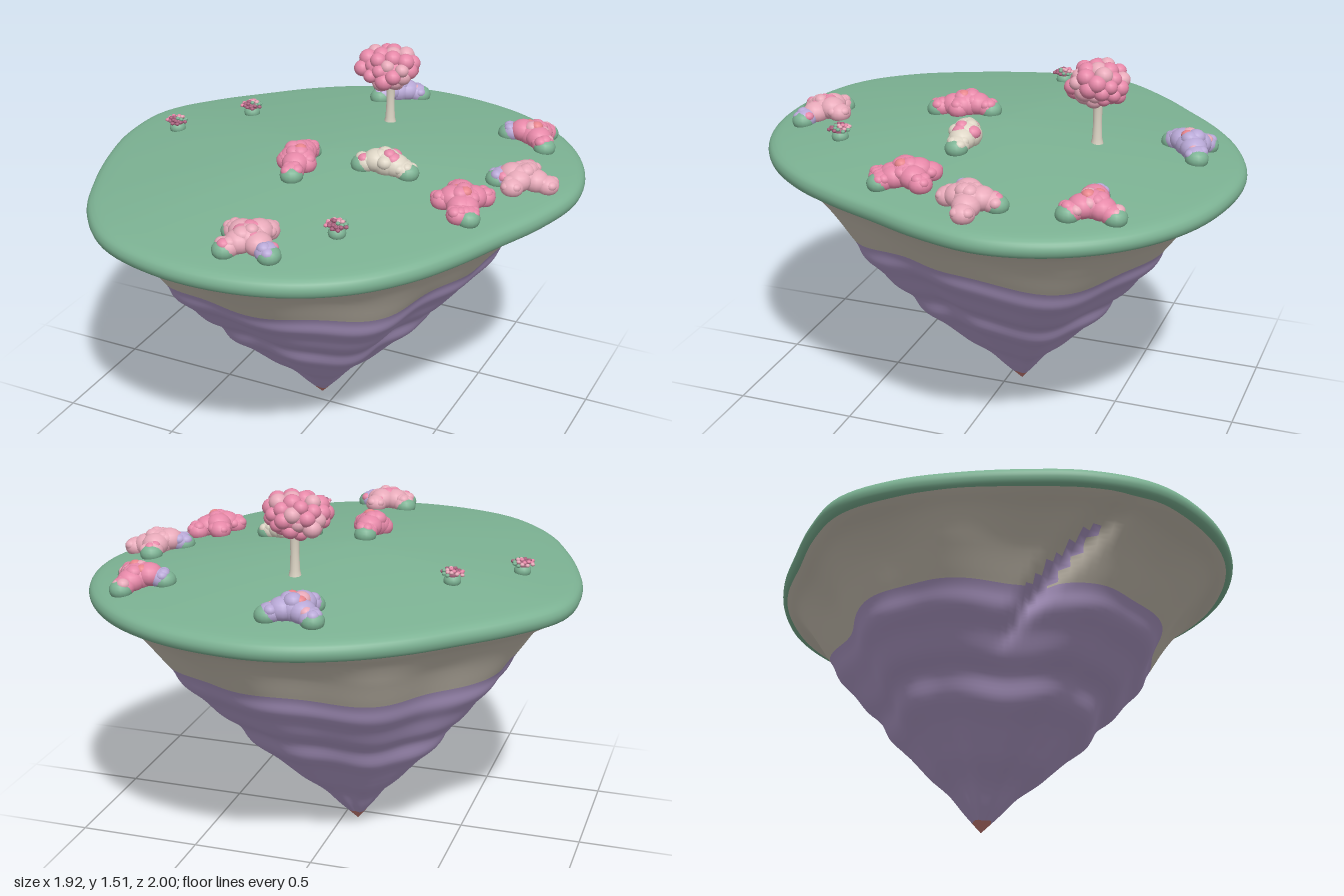
import * as THREE from 'three';
import { mergeGeometries } from 'three/addons/utils/BufferGeometryUtils.js';

const paint = (name, color) => {
  const m = new THREE.MeshStandardMaterial({ color });
  m.name = name;
  return m;
};
const M = {
  grass: paint('grass green', 0x7cb293),
  stone: paint('warm grey stone', 0xc6beb0),
  rock: paint('purple rock', 0xae99c6),
  tip: paint('red tip', 0xc47a74),
  pink: paint('pink', 0xe688a8),
  blush: paint('light pink', 0xe8aaba),
  lilac: paint('lilac', 0xb8a8d6),
  cream: paint('cream', 0xddd5c5),
  coral: paint('coral', 0xee8890),
  berry: paint('dark berry', 0xa8607c),
};

let seed = 7;
const rand = () => (seed = (seed * 16807) % 2147483647) / 2147483647;

// Island outline: radius every 15 degrees, from +x towards +z
const RADII = [0.91, 0.85, 0.85, 0.885, 0.93, 0.965, 0.99, 1.012, 1.025, 0.99, 0.945, 0.935,
  0.955, 0.97, 0.92, 0.89, 0.91, 0.95, 0.995, 1.02, 1.045, 1.055, 1.04, 0.995];
function outline(a) {
  const n = RADII.length, u = ((a / (2 * Math.PI)) * n + n) % n, i = Math.floor(u), f = u - i;
  const [p, q, r, s] = [-1, 0, 1, 2].map((k) => RADII[(i + k + n) % n]);
  return q + 0.5 * f * (r - p + f * (2 * p - 5 * q + 4 * r - s + f * (3 * (q - r) + s - p)));
}
const domeY = (t) => 1.115 + 0.09 * (1 - Math.pow(Math.min(t, 1), 1.6));
const groundY = (x, z) => domeY(Math.hypot(x, z) / outline(Math.atan2(z, x)));

// Skin of closed rings running from the top outwards and down
const SEG = 144;
function skin(name, rows, place, materials, pick) {
  const pos = [], faces = materials.map(() => []);
  rows.forEach((row, i) => {
    for (let j = 0; j < SEG; j++) {
      const a = (j / SEG) * 2 * Math.PI;
      pos.push(...place(row, a));
      if (i === rows.length - 1) continue;
      const k = (j + 1) % SEG, p = i * SEG + j, q = i * SEG + k;
      faces[pick(row, a)].push(p, q, p + SEG, q, q + SEG, p + SEG);
    }
  });
  const g = new THREE.BufferGeometry();
  g.setAttribute('position', new THREE.Float32BufferAttribute(pos, 3));
  g.setIndex(faces.flat());
  let start = 0;
  faces.forEach((f, m) => { g.addGroup(start, f.length, m); start += f.length; });
  g.computeVertexNormals();
  const mesh = new THREE.Mesh(g, materials);
  mesh.name = name;
  return mesh;
}
const smoothRows = (pts, n) => new THREE.SplineCurve(pts.map(([f, y]) => new THREE.Vector2(f, y))).getPoints(n);

function grassCap() {
  const rows = [];
  for (let i = 0; i <= 16; i++) rows.push(new THREE.Vector2(i / 17, domeY(i / 17)));
  rows.push(...smoothRows([[0.965, 1.117], [0.99, 1.103], [1, 1.078], [0.992, 1.053], [0.975, 1.043], [0.95, 1.045]], 15));
  const place = (r, a) => {
    const d = r.x * outline(a);
    return [d * Math.cos(a), r.y, d * Math.sin(a)];
  };
  return skin('grassCap', rows, place, [M.grass], () => 0);
}

// Terraced rock underneath, with a cleft at the front, drifting towards an off-centre point
const cleftAngle = (y) => 2.44 - (y - 0.78) * 1.05;
function rockBody() {
  const rows = smoothRows([[0.985, 1.055], [0.95, 1.03], [0.885, 0.99], [0.805, 0.91], [0.73, 0.81], [0.695, 0.76],
    [0.665, 0.7], [0.6, 0.635], [0.54, 0.56], [0.47, 0.5], [0.425, 0.42], [0.345, 0.35], [0.285, 0.29],
    [0.23, 0.235], [0.145, 0.165], [0.08, 0.09], [0.03, 0.035], [0.0005, 0.003]], 84);
  const place = ({ x: f, y }, a) => {
    const fade = Math.min(1, (1 - f) * 5);
    const lobes = 0.026 * Math.sin(9 * a + 0.6) + 0.016 * Math.sin(5 * a + 6 * y);
    const depth = THREE.MathUtils.smoothstep(y, 0.55, 0.75);
    const cleft = 0.08 * depth * Math.exp(-(((a - cleftAngle(y)) / 0.06) ** 2));
    const base = THREE.MathUtils.lerp(0.955, outline(a), 0.4 + 0.6 * f);
    const d = f * base * (1 + (lobes - cleft) * fade);
    const wave = 0.02 * Math.sin(4 * a + 1) * Math.sin(Math.PI * Math.min(1, y / 1.055));
    return [d * Math.cos(a) - 0.065 * (1 - f), y + wave, d * Math.sin(a) - 0.06 * (1 - f)];
  };
  const pick = ({ y }, a) => {
    if (y < 0.05) return 2;
    return y < 0.785 || (y < 0.98 && Math.abs(a - cleftAngle(y)) < 0.065 - (y - 0.785) * 0.2) ? 1 : 0;
  };
  return skin('rockBody', rows, place, [M.stone, M.rock, M.tip], pick);
}

// Round blobs [x, y, z, radius, colour, flatness] merged by colour into one named group
function clump(name, blobs) {
  const group = new THREE.Group(), byColour = new Map();
  group.name = name;
  for (const [x, y, z, r, mat, flat = 0.85] of blobs) {
    const detail = r > 0.015 ? [16, 10] : [8, 6];
    const g = new THREE.SphereGeometry(r, ...detail).scale(1, flat, 1).translate(x, y, z);
    if (!byColour.has(mat)) byColour.set(mat, []);
    byColour.get(mat).push(g);
  }
  byColour.forEach((list, mat) => {
    const mesh = new THREE.Mesh(mergeGeometries(list), mat);
    mesh.name = name + 'Blobs';
    group.add(mesh);
  });
  return group;
}

// Bush: a centre and low arms [x, z, colour, leafy tip]
function bush(cx, cz, heart, main, accent, arms) {
  const y = groundY(cx, cz), blobs = [[cx, y + 0.032, cz, 0.064, main]];
  const bumps = (x, by, z, r, mat, n) => {
    for (let i = 0; i < n; i++) {
      const a = (i / n) * 2 * Math.PI + rand(), e = 0.3 + rand() * 0.9;
      blobs.push([x + r * Math.cos(a) * Math.cos(e) * 0.62, by + r * Math.sin(e) * 0.5,
        z + r * Math.sin(a) * Math.cos(e) * 0.62, r * (0.46 + rand() * 0.12), rand() < 0.22 ? accent : mat]);
    }
  };
  bumps(cx, y + 0.035, cz, 0.064, main, 5);
  blobs.push([cx + 0.014, y + 0.071, cz + 0.012, 0.026, heart], [cx - 0.025, y + 0.063, cz - 0.015, 0.026, heart]);
  for (const [x, z, mat, leafy] of arms) {
    const ay = groundY(x, z) + 0.022, dx = x - cx, dz = z - cz, len = Math.hypot(dx, dz);
    blobs.push([x, ay, z, 0.046, mat], [cx + dx * 0.5, ay + 0.012, cz + dz * 0.5, 0.054, main]);
    bumps(x, ay, z, 0.046, mat, 5);
    if (leafy) blobs.push([x + (dx / len) * 0.014, ay - 0.008, z + (dz / len) * 0.014, 0.046, M.grass]);
  }
  return clump('bush', blobs);
}

function tree() {
  const group = new THREE.Group(), x = 0.08, z = -0.415, y = groundY(x, z) - 0.01;
  group.name = 'blossomTree';
  const profile = [[0.027, 0], [0.02, 0.03], [0.017, 0.1], [0.019, 0.16], [0.028, 0.22]];
  const trunk = new THREE.Mesh(new THREE.LatheGeometry(profile.map(([r, h]) => new THREE.Vector2(r, h)), 14), M.cream);
  trunk.position.set(x, y, z);
  trunk.name = 'trunk';
  const blobs = [[0.07, 1.42, z, 0.108, M.pink, 0.65]];
  for (let i = 0; i < 44; i++) {
    const h = 1 - (2 * (i + 0.5)) / 44, s = Math.sqrt(1 - h * h), a = i * 2.4, k = 0.8 + rand() * 0.3;
    blobs.push([0.07 + 0.107 * k * s * Math.cos(a), 1.423 + 0.064 * k * h, z + 0.096 * k * s * Math.sin(a),
      0.028 + rand() * 0.012, rand() < 0.4 ? M.blush : M.pink, 0.95]);
  }
  group.add(trunk, clump('crown', blobs));
  return group;
}

// Small flowering tuft over a leafy base
function tuft(x, z) {
  const y = groundY(x, z), blobs = [[x, y + 0.01, z, 0.034, M.grass], [x, y + 0.034, z, 0.026, M.berry]];
  for (let i = 0; i < 26; i++) {
    const a = i * 2.4, r = 0.044 * Math.sqrt((i + 0.5) / 26);
    blobs.push([x + r * Math.cos(a), y + 0.058 - r * 0.5 + rand() * 0.008, z + r * Math.sin(a), 0.009,
      [M.blush, M.berry, M.pink, M.grass, M.berry][i % 5], 0.8]);
  }
  return clump('flowerTuft', blobs);
}

export function createModel() {
  const island = new THREE.Group();
  island.name = 'floatingIsland';
  const { pink, blush, lilac, cream, coral } = M;
  island.add(
    grassCap(), rockBody(), tree(),
    bush(-0.04, -0.76, coral, lilac, blush, [[-0.11, -0.8, lilac, true], [0.04, -0.8, lilac, true],
      [-0.075, -0.69, lilac, true]]),
    bush(0.66, -0.575, coral, pink, blush, [[0.685, -0.655, pink, true], [0.57, -0.565, lilac, true],
      [0.72, -0.515, pink, true]]),
    bush(0.765, -0.15, blush, blush, pink, [[0.755, -0.235, blush, true], [0.86, -0.16, blush, false],
      [0.685, -0.11, lilac, true], [0.75, -0.06, blush, false]]),
    bush(0.63, 0.155, coral, pink, pink, [[0.585, 0.075, pink, false], [0.685, 0.075, pink, false],
      [0.56, 0.185, pink, false], [0.68, 0.23, pink, true], [0.65, 0.25, pink, false]]),
    bush(0.275, 0.055, pink, cream, pink, [[0.195, 0.08, cream, true], [0.35, 0.06, cream, true]]),
    bush(-0.05, 0.175, coral, pink, pink, [[-0.05, 0.09, pink, true], [-0.085, 0.2, pink, false],
      [-0.01, 0.2, pink, false], [-0.025, 0.28, pink, true]]),
    bush(0.055, 0.77, blush, blush, pink, [[0.085, 0.69, blush, false], [-0.025, 0.735, blush, true],
      [0.0, 0.84, blush, true], [0.145, 0.815, lilac, true]]),
  );
  for (const [x, z] of [[-0.5, -0.27], [-0.72, -0.02], [0.31, 0.58]]) island.add(tuft(x, z));
  return island;
}
